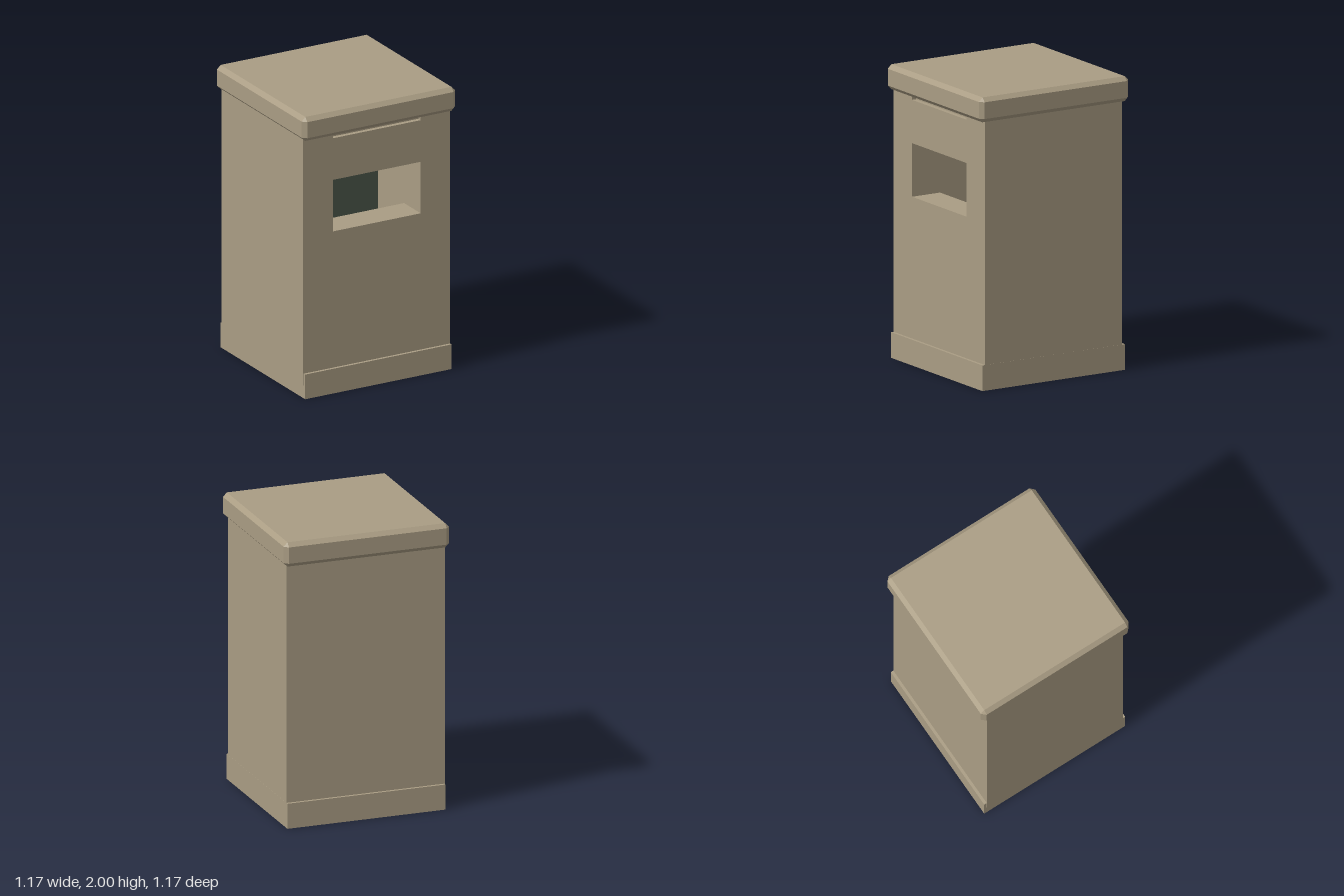
import * as THREE from 'three';
import { ConvexGeometry } from 'three/addons/geometries/ConvexGeometry.js';

export function createModel() {
  const group = new THREE.Group();
  const tan = new THREE.MeshStandardMaterial({ color: 0xaa9d84, flatShading: true });
  tan.name = 'tan';
  const dark = new THREE.MeshStandardMaterial({ color: 0x4c574a, flatShading: true });
  dark.name = 'darkGreen';

  const add = (name, geometry, material = tan) => {
    const mesh = new THREE.Mesh(geometry, material);
    mesh.name = name;
    group.add(mesh);
    return mesh;
  };
  // Box given by its minimum and maximum corners
  const box = (name, [x0, y0, z0], [x1, y1, z1], material) =>
    add(name, new THREE.BoxGeometry(x1 - x0, y1 - y0, z1 - z0)
      .translate((x0 + x1) / 2, (y0 + y1) / 2, (z0 + z1) / 2), material);
  const points = (list) => list.map(([x, y]) => new THREE.Vector2(x, y));
  // Slab of the body with a rectangular opening
  const slab = (name, outline, y0, y1, z0, z1) => {
    const shape = new THREE.Shape(points(outline));
    shape.holes.push(new THREE.Path(points([[-W, y0], [-W, y1], [W, y1], [W, y0]])));
    add(name, new THREE.ExtrudeGeometry(shape, { depth: z1 - z0, bevelEnabled: false }).translate(0, 0, z0));
  };

  const W = 0.335;                 // half width of the opening
  const L = -0.565, R = 0.559;     // body sides
  const bottom = 0.09, top = 1.84;

  // Plinth
  box('base', [-0.56, 0, -0.56], [0.56, 0.175, 0.56]);

  // Front wall with the slot and a shallow notch under the lid
  slab('frontWall', [[L, bottom], [R, bottom], [R, top], [W, top], [W, 1.8], [-W, 1.8], [-W, top], [L, top]],
    1.14, 1.505, 0.32, 0.54);
  box('notchBack', [-W, 1.8, 0.32], [W, top, 0.51]);

  // Hollow middle and solid rear of the body
  slab('bodyMiddle', [[L, bottom], [R, bottom], [R, top], [L, top]], 0.2, 1.8, -0.03, 0.32);
  box('bodyRear', [L, bottom, -0.54], [R, top, -0.03]);
  box('innerPanel', [-W, 0.2, -0.032], [W, 1.8, -0.026], dark);

  // Lid with every edge chamfered
  const half = [0.587, 0.085, 0.587], c = 0.028, corners = [];
  for (const sx of [-1, 1]) for (const sy of [-1, 1]) for (const sz of [-1, 1])
    for (let axis = 0; axis < 3; axis++) {
      const [x, y, z] = half.map((h, i) => (i === axis ? h : h - c));
      corners.push(new THREE.Vector3(sx * x, sy * y, sz * z));
    }
  add('lid', new ConvexGeometry(corners)).position.y = 1.915;

  return group;
}
